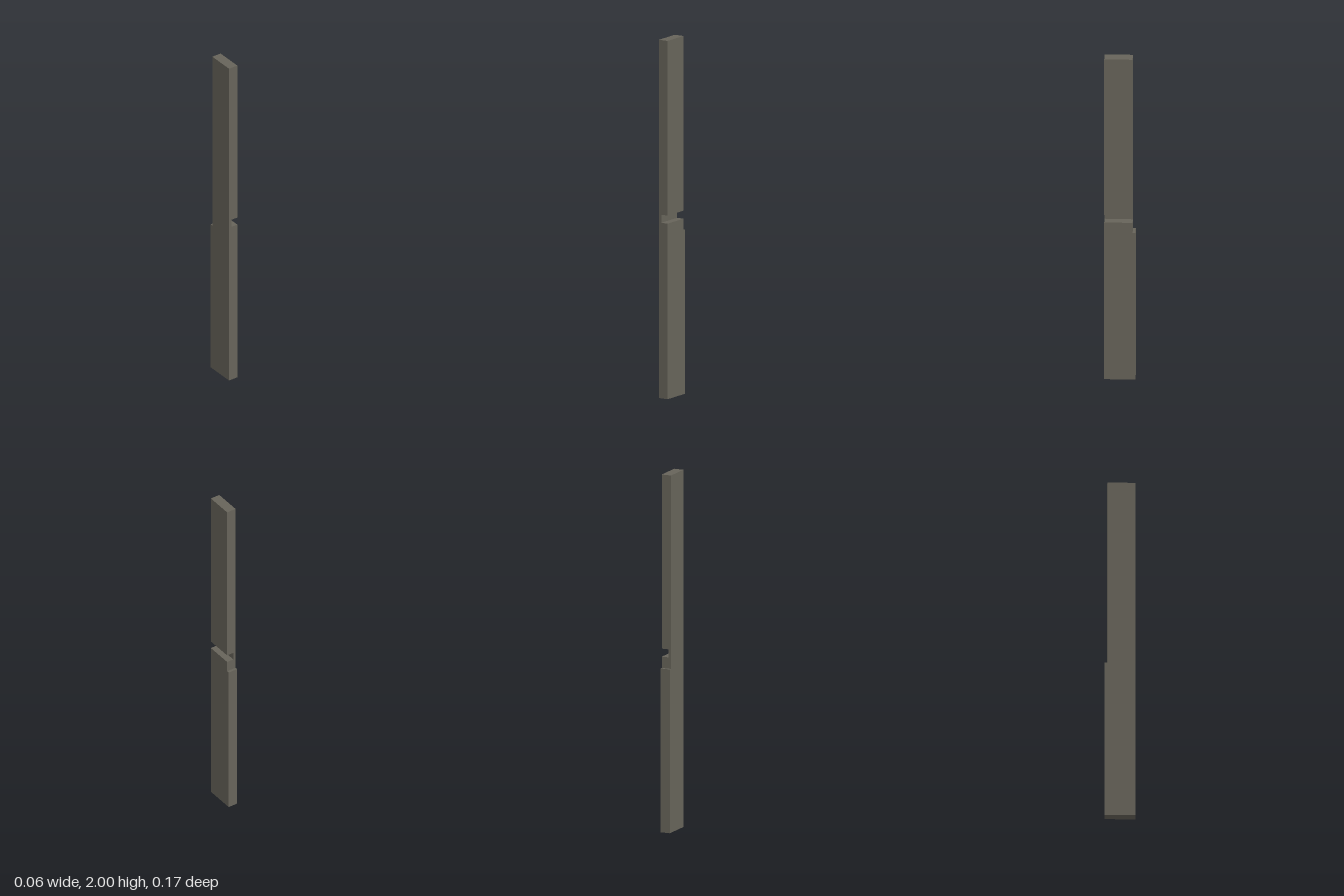
import * as THREE from 'three';

export function createModel() {
  const group = new THREE.Group();
  group.name = 'notchedPost';
  const material = new THREE.MeshStandardMaterial({ color: 0x67645a, flatShading: true });

  const halfWidth = 0.028, halfDepth = 0.085, height = 2;
  const shoulderZ = -0.07, shoulderY = 0.917;
  const notchX = -0.013, notchBottom = 0.98, notchTop = 1.025;

  // Full-height post with a notch cut into its left side
  const profile = new THREE.Shape([
    [-halfWidth, 0], [halfWidth, 0],
    [halfWidth, notchBottom], [notchX, notchBottom],
    [notchX, notchTop], [halfWidth, notchTop],
    [halfWidth, height], [-halfWidth, height],
  ].map(([x, y]) => new THREE.Vector2(x, y)));
  const postGeometry = new THREE.ExtrudeGeometry(profile, { depth: halfDepth - shoulderZ, bevelEnabled: false });
  postGeometry.translate(0, 0, shoulderZ);
  const post = new THREE.Mesh(postGeometry, material);
  post.name = 'post';
  group.add(post);

  // Thicker lower back, ending in a small shoulder below the notch
  const depth = halfDepth + shoulderZ;
  const lowerBack = new THREE.Mesh(new THREE.BoxGeometry(2 * halfWidth, shoulderY, depth), material);
  lowerBack.position.set(0, shoulderY / 2, shoulderZ - depth / 2);
  lowerBack.name = 'lowerBack';
  group.add(lowerBack);

  return group;
}
